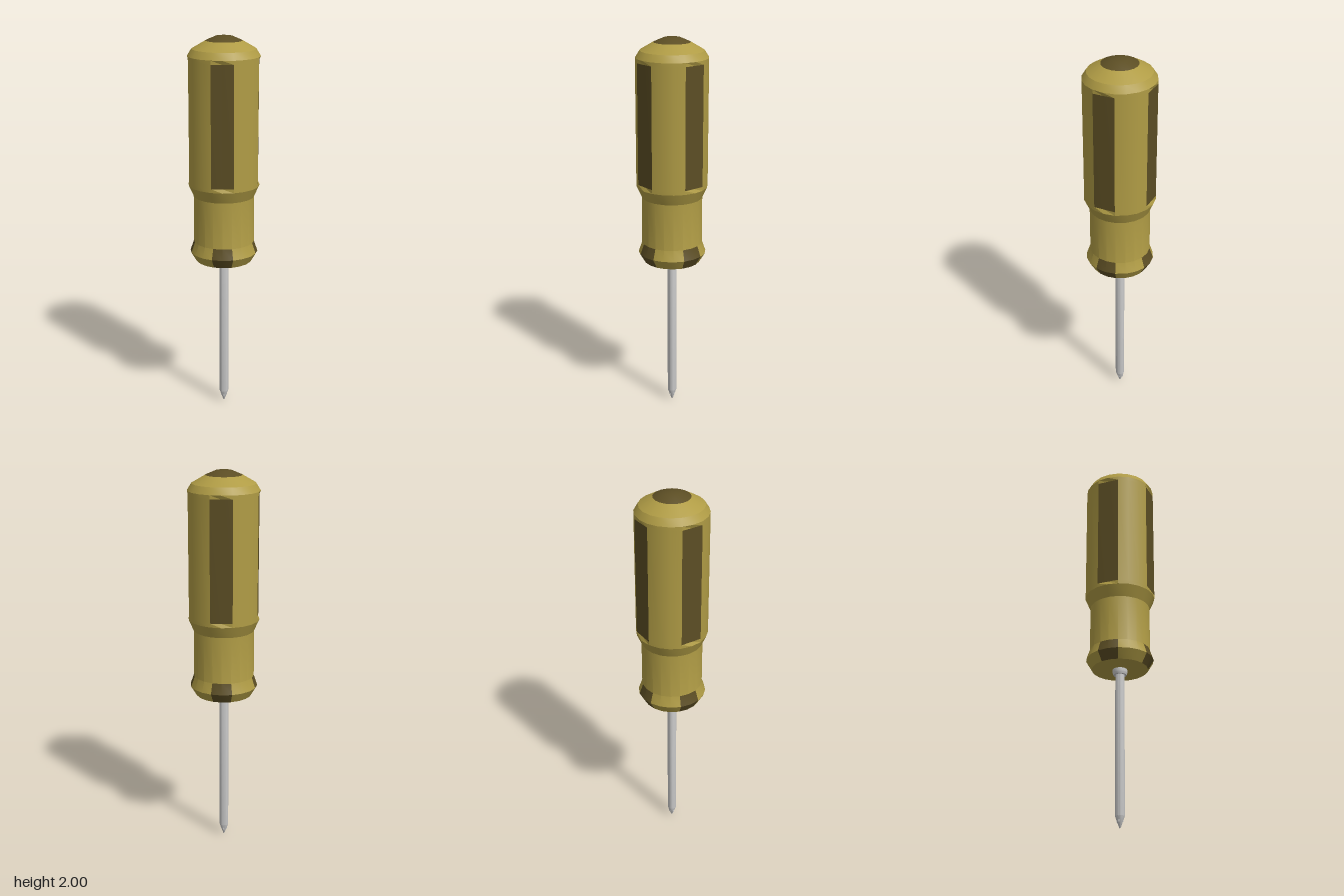
import * as THREE from 'three';
import { toCreasedNormals } from 'three/addons/utils/BufferGeometryUtils.js';

const material = (name, color) => {
  const m = new THREE.MeshStandardMaterial({ color });
  m.name = name;
  return m;
};

const lathe = (profile, sides) =>
  new THREE.LatheGeometry(profile.map(([r, y]) => new THREE.Vector2(r, y)), sides);

// Twenty-sided handle with four flat grip panels, dark flare patches and a dark cap
function handleGeometry() {
  const profile = [
    [0, 0.83], [0.146, 0.83], [0.176, 0.88], [0.157, 0.935], // base flare
    [0.157, 1.18], [0.184, 1.24], // neck and collar
    [0.184, 1.26], [0.184, 1.88], [0.184, 1.9], // grip
    [0.162, 1.935], [0.093, 1.975], [0.042, 1.997], [0, 2], // dome
  ];
  const sides = 20, n = profile.length;
  const geo = lathe(profile, sides);
  const pos = geo.attributes.position;

  // Pull the middle column of each grip panel in to make the panel flat
  const flat = Math.cos(Math.PI / 10);
  for (let i = 0; i <= sides; i += 5) {
    for (const j of [6, 7]) {
      const k = i * n + j;
      pos.setXYZ(k, pos.getX(k) * flat, pos.getY(k), pos.getZ(k) * flat);
    }
  }

  // Sort the cells by colour
  const light = [], dark = [];
  for (let i = 0; i < sides; i++) {
    const onPanel = i % 5 === 0 || i % 5 === 4;
    for (let j = 0; j < n - 1; j++) {
      const isDark = j >= 10 || (onPanel && [1, 2, 6].includes(j));
      const a = i * n + j, b = a + n;
      const out = isDark ? dark : light;
      if (j > 0) out.push(a, b, a + 1);
      if (j < n - 2) out.push(b + 1, a + 1, b);
    }
  }
  geo.setIndex([...light, ...dark]);
  geo.addGroup(0, light.length, 0);
  geo.addGroup(light.length, dark.length, 1);
  return toCreasedNormals(geo, 0.38);
}

export function createModel() {
  const group = new THREE.Group();
  group.name = 'screwdriver';
  const amber = material('amber', 0xb09c45);
  const darkAmber = material('dark amber', 0x5c4e24);
  const steel = material('steel', 0xcccccc);

  const add = (name, geometry, mat) => {
    const mesh = new THREE.Mesh(geometry, mat);
    mesh.name = name;
    group.add(mesh);
  };

  add('handle', handleGeometry(), [amber, darkAmber]);

  // Steel ring where the shaft enters the handle
  add('ferrule', toCreasedNormals(lathe(
    [[0.024, 0.8], [0.034, 0.8], [0.038, 0.812], [0.038, 0.832]], 16), 0.45), steel);

  // Shaft with pointed tip
  add('shaft', toCreasedNormals(lathe(
    [[0, 0], [0.004, 0.004], [0.024, 0.06], [0.024, 0.83]], 16), 0.45), steel);

  // Four small fins at the tip form the cross drive
  for (let i = 0; i < 2; i++) {
    const fin = new THREE.BoxGeometry(0.034, 0.03, 0.006);
    fin.rotateY(i * Math.PI / 2);
    fin.translate(0, 0.045, 0);
    add('tipFin', fin, steel);
  }
  return group;
}
